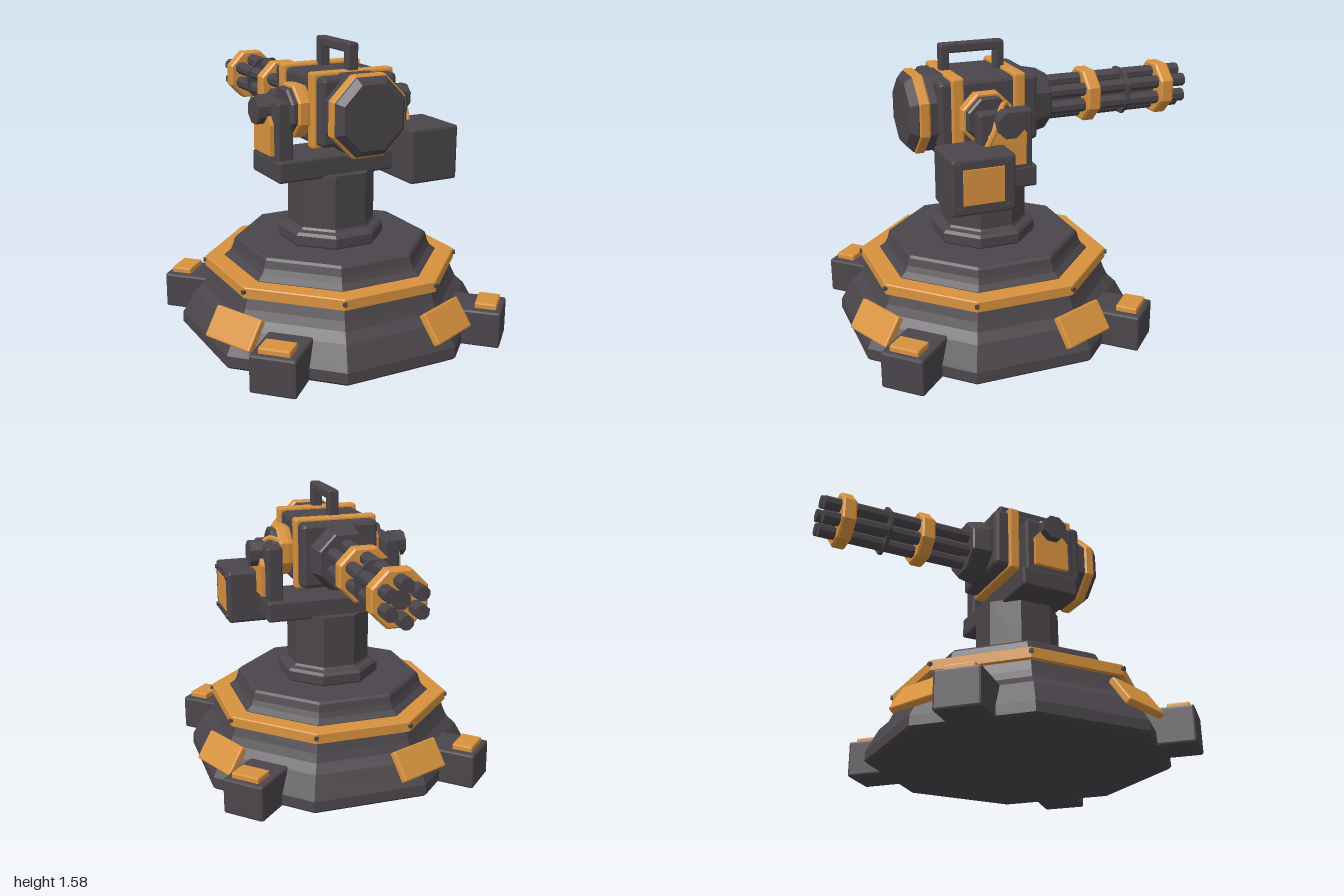
import * as THREE from 'three';
import { RoundedBoxGeometry } from 'three/addons/geometries/RoundedBoxGeometry.js';

const CZ = 0.195;   // turret axis
const AIM = 1.235;  // barrel height

export function createModel() {
  const model = new THREE.Group();
  model.name = 'gunTurret';
  const dark = new THREE.MeshStandardMaterial({ color: 0x4a454a });
  dark.name = 'gunmetal';
  const orange = new THREE.MeshStandardMaterial({ color: 0xd8923e });
  orange.name = 'orangePaint';

  const flat = (g) => {
    const f = g.index ? g.toNonIndexed() : g;
    f.computeVertexNormals();
    return f;
  };
  const add = (name, geo, mat, parent = model) => {
    const m = new THREE.Mesh(flat(geo), mat);
    m.name = name;
    parent.add(m);
    return m;
  };
  // Chamfered box from its minimum and maximum corners
  const box = (name, mat, [x0, x1], [y0, y1], [z0, z1], c = 0.012, parent = model) => {
    const g = new RoundedBoxGeometry(x1 - x0, y1 - y0, z1 - z0, 1, c);
    g.translate((x0 + x1) / 2, (y0 + y1) / 2, (z0 + z1) / 2);
    return add(name, g, mat, parent);
  };
  // Prism turned from [distance to flat, height] pairs, closed at both ends
  const prism = (profile, sides = 8) => {
    const k = 1 / Math.cos(Math.PI / sides);
    const pts = profile.map(([r, y]) => new THREE.Vector2(r * k, y));
    pts.unshift(new THREE.Vector2(0, profile[0][1]));
    pts.push(new THREE.Vector2(0, profile[profile.length - 1][1]));
    return new THREE.LatheGeometry(pts, sides, Math.PI / sides);
  };
  const upright = (name, mat, profile) => add(name, prism(profile).translate(0, 0, CZ), mat);
  const alongZ = (name, mat, profile, x = 0, y = AIM, sides = 8) =>
    add(name, prism(profile, sides).rotateX(Math.PI / 2).translate(x, y, 0), mat);
  const alongX = (name, mat, profile, side, y, z) =>
    add(name, prism(profile).rotateZ(-side * Math.PI / 2).translate(0, y, z), mat);

  // Base, trim ring and pedestal
  upright('base', dark, [[0.745, 0], [0.76, 0.015], [0.757, 0.07], [0.695, 0.19], [0.65, 0.235],
    [0.63, 0.28], [0.61, 0.34], [0.54, 0.39], [0.54, 0.4], [0.51, 0.425], [0.497, 0.455],
    [0.487, 0.495], [0.475, 0.507]]);
  upright('trimRing', orange, [[0.6, 0.338], [0.637, 0.34], [0.637, 0.392], [0.632, 0.397], [0.53, 0.397]]);
  upright('pedestal', dark, [[0.255, 0.5], [0.264, 0.515], [0.264, 0.565], [0.25, 0.58], [0.225, 0.588],
    [0.216, 0.6], [0.216, 0.89]]);

  // Ring bolts sit on the eight corners
  for (let i = 0; i < 8; i++) {
    const a = Math.PI / 8 + i * Math.PI / 4, r = 0.637 / Math.cos(Math.PI / 8);
    const bolt = add('ringBolt', new THREE.CylinderGeometry(0.013, 0.013, 0.02, 6).rotateX(Math.PI / 2), dark);
    bolt.position.set(r * Math.sin(a), 0.373, CZ + r * Math.cos(a));
    bolt.rotation.y = a;
  }

  // Four feet on the diagonals, four sloped armour plates between
  for (let i = 0; i < 4; i++) {
    const foot = new THREE.Group();
    foot.name = 'foot';
    foot.position.z = CZ;
    foot.rotation.y = Math.PI / 4 + i * Math.PI / 2;
    box('footBlock', dark, [-0.12, 0.12], [0, 0.2], [0.6, 0.957], 0.012, foot);
    box('footPad', orange, [-0.082, 0.082], [0.19, 0.23], [0.815, 0.93], 0.008, foot);
    model.add(foot);

    const mount = new THREE.Group();
    mount.name = 'armourMount';
    mount.position.z = CZ;
    mount.rotation.y = Math.PI / 8 + i * Math.PI / 2;
    const plate = box('armourPlate', orange, [-0.153, 0.153], [-0.085, 0.085], [-0.02, 0.02], 0.008, mount);
    plate.position.set(0, 0.198, 0.758);
    plate.rotation.x = -0.6;
    model.add(mount);
  }

  // Yoke with a pivot on each side
  box('yokeBeam', dark, [-0.388, 0.388], [0.875, 0.99], [0.03, 0.365]);
  for (const s of [1, -1]) {
    const span = (a, b) => (s > 0 ? [a, b] : [-b, -a]);
    box('yokeArm', dark, span(0.295, 0.385), [0.88, 1.29], [0.055, 0.345]);
    const panel = new THREE.Shape();
    [[0.1, 1.01], [0.3, 1.01], [0.3, 1.17], [0.25, 1.235], [0.15, 1.235], [0.1, 1.18]]
      .forEach(([z, y], i) => (i ? panel.lineTo(-z, y) : panel.moveTo(-z, y)));
    const pg = new THREE.ExtrudeGeometry(panel, { depth: 0.025, bevelEnabled: false }).rotateY(Math.PI / 2);
    add('armPanel', pg, orange).position.x = s > 0 ? 0.383 : -0.408;
    alongX('pivotDisc', orange, [[0.125, 0.2], [0.135, 0.24], [0.135, 0.282], [0.127, 0.29]], s, AIM, 0.265);
    alongX('pivotHub', dark, [[0.118, 0.28], [0.118, 0.312], [0.108, 0.322]], s, AIM, 0.265);
    alongX('axleCap', dark, [[0.067, 0.37], [0.067, 0.453]], s, AIM, 0.2);
  }

  // Ammunition box with bolted cover and feed hose
  box('ammoBox', dark, [0.28, 0.568], [0.833, 1.128], [0.22, 0.555], 0.015);
  box('ammoCover', orange, [0.564, 0.573], [0.89, 1.075], [0.282, 0.498], 0.002);
  for (const y of [0.868, 1.095]) for (const z of [0.257, 0.52]) {
    alongX('coverBolt', dark, [[0.013, 0.56], [0.013, 0.578]], 1, y, z);
  }
  const hose = new THREE.CatmullRomCurve3([[0.28, 1.3, 0.16], [0.335, 1.315, 0.2], [0.385, 1.25, 0.25],
    [0.41, 1.19, 0.28], [0.405, 1.12, 0.315]].map((p) => new THREE.Vector3(...p)));
  add('feedHose', new THREE.TubeGeometry(hose, 10, 0.014, 6), orange);

  // Gun housing with square bands and octagonal end cap
  box('housing', dark, [-0.215, 0.215], [1.07, 1.425], [-0.045, 0.5], 0.022);
  for (const [z0, z1] of [[0.032, 0.098], [0.368, 0.435]]) {
    box('housingBand', orange, [-0.232, 0.232], [1.055, 1.443], [z0, z1], 0.012);
  }
  alongZ('endDrum', dark, [[0.2, 0.42], [0.2, 0.56]]);
  alongZ('endRing', orange, [[0.2, 0.54], [0.209, 0.55], [0.209, 0.592], [0.2, 0.598]]);
  alongZ('endCap', dark, [[0.2, 0.59], [0.198, 0.605], [0.165, 0.638]]);

  // Carrying handle
  box('handleGrip', dark, [-0.03, 0.03], [1.528, 1.58], [0.075, 0.428], 0.01);
  for (const z of [0.075, 0.378]) box('handleLeg', dark, [-0.03, 0.03], [1.41, 1.575], [z, z + 0.05], 0.008);

  // Rotary barrels with collars
  alongZ('barrelShroud', dark, [[0.145, -0.155], [0.153, -0.145], [0.17, -0.06], [0.17, -0.04]]);
  alongZ('barrelCore', dark, [[0.045, -0.93], [0.045, -0.14]]);
  for (let i = 0; i < 6; i++) {
    const a = i * Math.PI / 3;
    alongZ('barrel', dark, [[0.034, -1], [0.034, -0.14]], 0.088 * Math.sin(a), AIM + 0.088 * Math.cos(a));
  }
  for (const z of [-0.91, -0.455]) {
    alongZ('barrelCollar', orange, [[0.132, z], [0.141, z + 0.01], [0.141, z + 0.068], [0.132, z + 0.078]]);
  }
  alongZ('barrelSpacer', dark, [[0.125, -0.642], [0.125, -0.622]]);
  return model;
}
